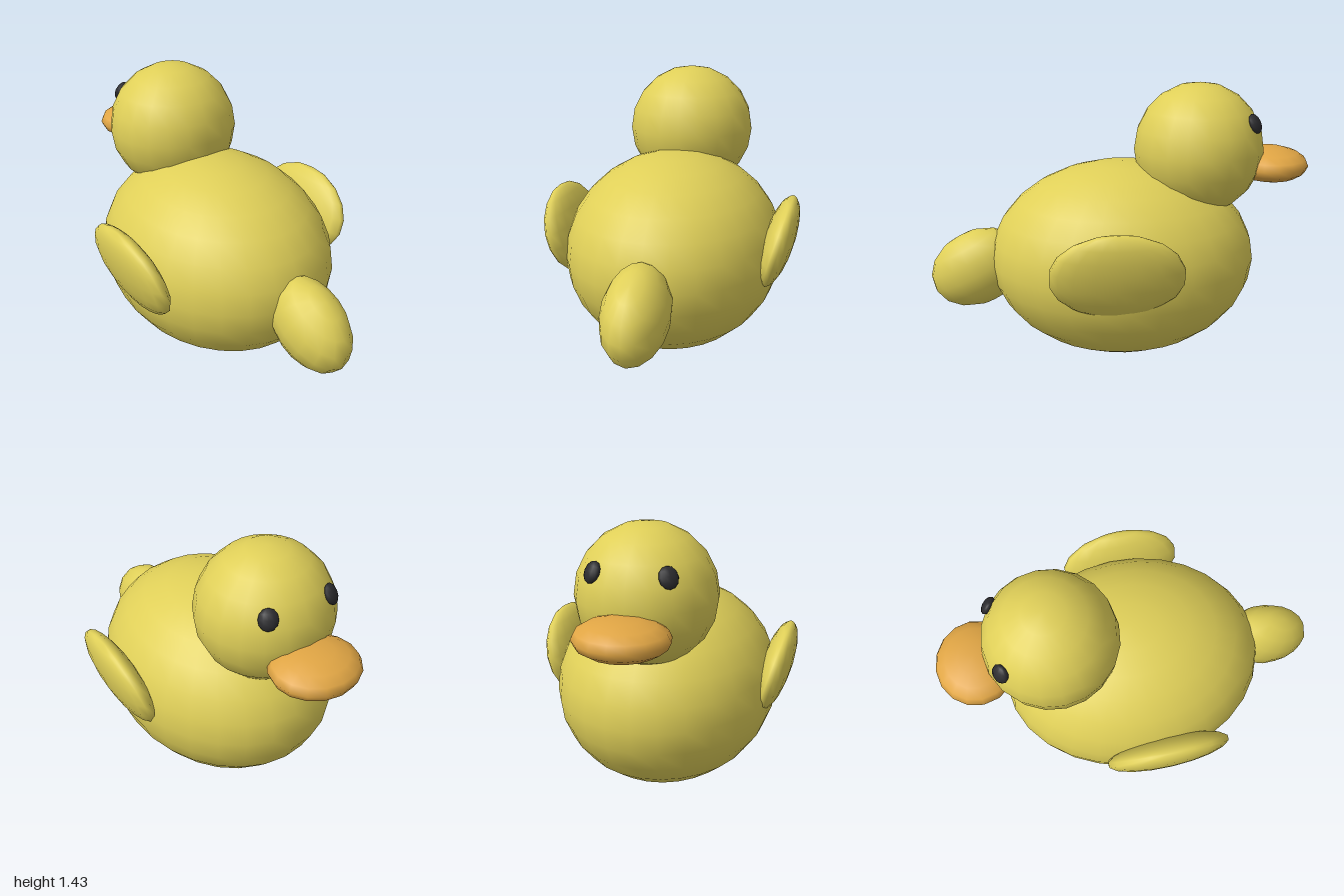
import * as THREE from 'three';

const material = (name, color) => {
  const m = new THREE.MeshStandardMaterial({ color });
  m.name = name;
  return m;
};

export function createModel() {
  const duck = new THREE.Group();
  duck.name = 'duck';
  const yellow = material('yellow', 0xdfcf58);
  const orange = material('orange', 0xe0a544);
  const black = material('black', 0x2b2b2e);

  // Smooth ellipsoid from its centre and half sizes
  const ellipsoid = (name, mat, center, half, segments) => {
    const geometry = new THREE.SphereGeometry(1, segments, segments / 2);
    geometry.scale(...half);
    const mesh = new THREE.Mesh(geometry, mat);
    mesh.name = name;
    mesh.position.set(...center);
    duck.add(mesh);
    return mesh;
  };

  // Body, head and flat bill (the duck looks towards -z)
  ellipsoid('body', yellow, [0, 0.515, -0.027], [0.57, 0.515, 0.697], 28);
  const headCenter = [0, 1.093, -0.422];
  ellipsoid('head', yellow, headCenter, [0.34, 0.34, 0.335], 20);
  ellipsoid('bill', orange, [0, 1.005, -0.8], [0.22, 0.09, 0.2], 16);

  // Tail droops backwards
  const tail = ellipsoid('tail', yellow, [0, 0.46, 0.745], [0.16, 0.2, 0.262], 16);
  tail.rotation.x = 0.48;

  for (const side of [1, -1]) {
    const label = side > 0 ? 'left' : 'right';

    // Wings lean outwards at the top
    const wing = ellipsoid(label + 'Wing', yellow, [side * 0.56, 0.61, 0.037], [0.08, 0.235, 0.327], 18);
    wing.rotation.z = -side * 0.27;

    // Eyes are flattened buttons lying on the head surface
    const eye = ellipsoid(label + 'Eye', black, [side * 0.172, 1.248, -0.672], [0.046, 0.052, 0.025], 12);
    const [x, y, z] = eye.position.toArray();
    eye.lookAt(2 * x - headCenter[0], 2 * y - headCenter[1], 2 * z - headCenter[2]);
  }
  return duck;
}
